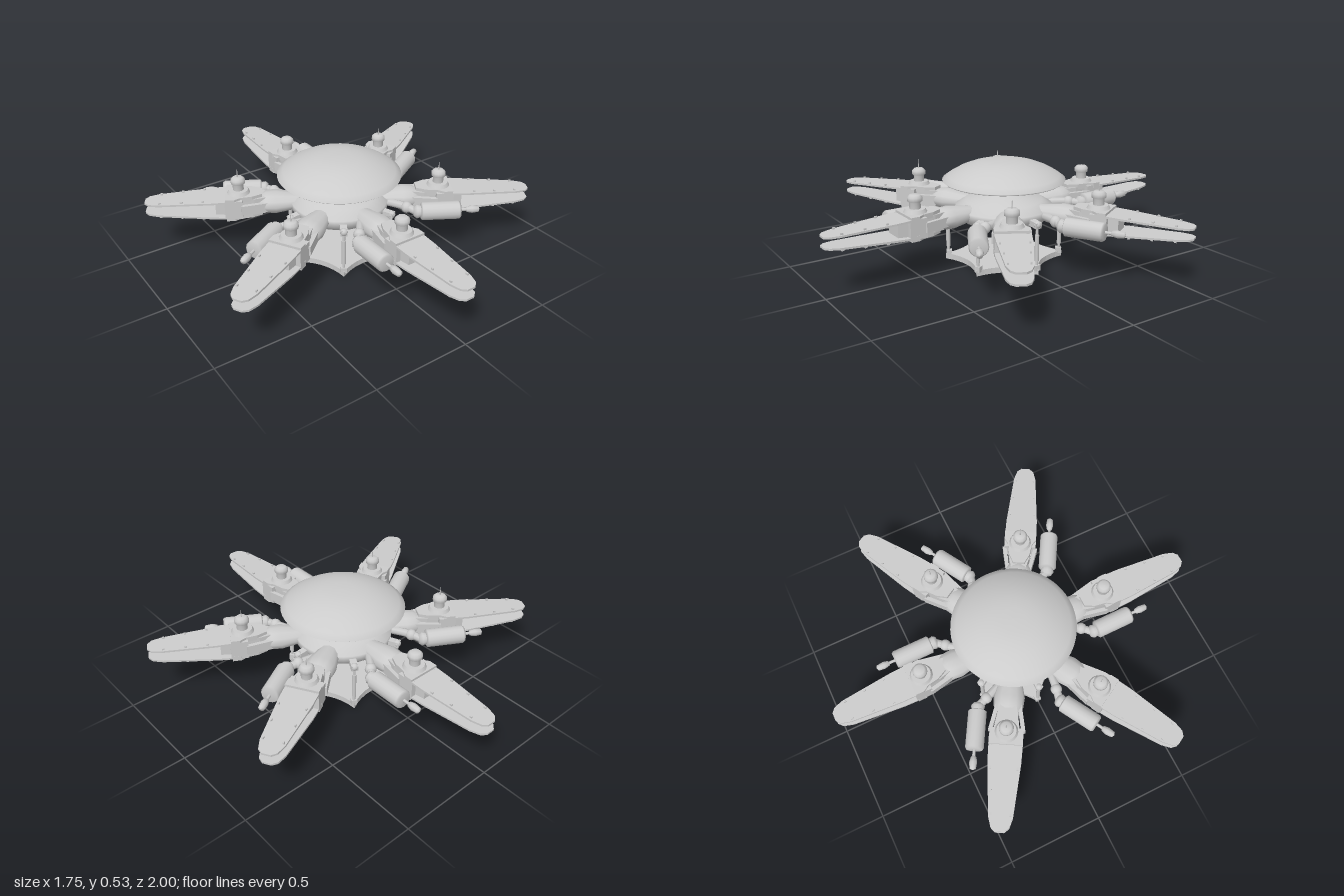
import * as THREE from 'three';

const mat = new THREE.MeshStandardMaterial({ color: 0xcccccc, side: THREE.DoubleSide });
const MID = 0.283; // height of the arms' mid plane

function add(parent, name, geo, x = 0, y = 0, z = 0) {
  const mesh = new THREE.Mesh(geo, mat);
  mesh.name = name;
  mesh.position.set(x, y, z);
  parent.add(mesh);
  return mesh;
}

const lathe = (pts, seg = 24) =>
  new THREE.LatheGeometry(pts.map(([r, y]) => new THREE.Vector2(r, y)), seg);

// Lathe laid along +z
const latheZ = (pts, seg = 16) => lathe(pts, seg).rotateX(Math.PI / 2);

// Outline in x/z (half widths mirrored), extruded downward by depth
function slab(half, depth) {
  const pts = [...half, ...half.slice().reverse().map(([x, z]) => [-x, z])];
  const shape = new THREE.Shape(pts.map(([x, z]) => new THREE.Vector2(x, z)));
  return new THREE.ExtrudeGeometry(shape, { depth, bevelEnabled: false }).rotateX(Math.PI / 2);
}

// Long thin plate, gently rising towards its root
function bladeGeometry() {
  const geo = slab([[0.085, 0.57], [0.083, 0.66], [0.06, 0.93], [0.045, 0.98], [0.022, 1.0]], 0.01);
  const p = geo.attributes.position;
  for (let i = 0; i < p.count; i++) p.setY(i, p.getY(i) + (1 - p.getZ(i)) * 0.045);
  geo.computeVertexNormals();
  return geo;
}

function makeBlade() {
  const blade = new THREE.Group();
  blade.name = 'blade';
  add(blade, 'bladePlate', bladeGeometry(), 0, 0.031, 0);
  for (const s of [-1, 1])
    for (const z of [0.7, 0.81, 0.92])
      add(blade, 'bladeStud', new THREE.BoxGeometry(0.008, 0.012, 0.012),
        s * (0.07 - (z - 0.66) * 0.085), 0.034 + (1 - z) * 0.045, z);
  return blade;
}

function makeArm(withAntenna) {
  const arm = new THREE.Group();
  arm.name = 'arm';

  // Shoulder swelling out of the hub
  add(arm, 'shoulder', latheZ([[0.05, 0.16], [0.06, 0.24], [0.08, 0.33], [0.075, 0.38], [0.05, 0.43], [0, 0.45]], 12), 0, MID, 0)
    .scale.y = 0.72;

  // Stacked housing plates around the core
  add(arm, 'housingCore', slab([[0.04, 0.38], [0.055, 0.44], [0.06, 0.54], [0.05, 0.64]], 0.09), 0, MID + 0.045, 0);
  for (const y of [0.345, 0.25])
    add(arm, 'housingPlate', slab([[0.03, 0.4], [0.055, 0.45], [0.065, 0.51], [0.085, 0.54], [0.085, 0.585]], 0.028), 0, y, 0);
  for (const s of [-1, 1]) {
    add(arm, 'hingeBlock', new THREE.BoxGeometry(0.025, 0.1, 0.09), s * 0.072, MID, 0.545);
    const brace = add(arm, 'housingBrace', new THREE.BoxGeometry(0.02, 0.05, 0.14), s * 0.07, MID, 0.44);
    brace.rotation.y = s * 0.2;
  }

  // Turret with a wider cap
  add(arm, 'turretBase', new THREE.CylinderGeometry(0.05, 0.06, 0.02, 16), 0, 0.353, 0.52);
  add(arm, 'turret', lathe([[0.028, 0.35], [0.028, 0.395], [0.037, 0.4], [0.037, 0.42], [0.025, 0.432], [0, 0.433]], 14), 0, 0, 0.52);
  if (withAntenna) add(arm, 'antenna', new THREE.ConeGeometry(0.004, 0.055, 5), 0, 0.457, 0.52);

  // Upper blade and its mirrored twin below
  const upper = makeBlade();
  upper.position.y = MID;
  const lower = makeBlade();
  lower.position.y = MID;
  lower.rotation.z = Math.PI;
  arm.add(upper, lower);

  // Side pod with a jointed link and a small tip
  const pod = new THREE.Group();
  pod.name = 'sidePod';
  pod.position.set(-0.155, 0.277, 0);
  add(pod, 'podBody', latheZ([[0, 0.405], [0.035, 0.405], [0.047, 0.412], [0.047, 0.6], [0.04, 0.61], [0, 0.61]]));
  add(pod, 'podCollar', latheZ([[0, 0.365], [0.025, 0.37], [0.036, 0.385], [0.03, 0.41]], 12));
  add(pod, 'podRod', latheZ([[0.008, 0.6], [0.008, 0.65]], 8));
  add(pod, 'podTip', latheZ([[0, 0.635], [0.014, 0.645], [0.02, 0.67], [0.016, 0.705], [0, 0.712]], 8));
  const link = new THREE.CatmullRomCurve3([
    new THREE.Vector3(0.11, 0, 0.25), new THREE.Vector3(0.05, 0.005, 0.33), new THREE.Vector3(0, 0, 0.385)]);
  add(pod, 'podLink', new THREE.TubeGeometry(link, 8, 0.021, 8));
  add(pod, 'podJoint', new THREE.SphereGeometry(0.03, 10, 8), 0.04, 0.004, 0.34);
  arm.add(pod);
  return arm;
}

// Hanging strut with its bracket and foot
function makeStrut() {
  const strut = new THREE.Group();
  strut.name = 'strut';
  add(strut, 'strutRod', new THREE.CylinderGeometry(0.007, 0.007, 0.25, 8), 0, 0.145, 0.295);
  add(strut, 'strutSleeve', new THREE.CylinderGeometry(0.011, 0.011, 0.14, 8), 0, 0.14, 0.295);
  add(strut, 'strutFoot', new THREE.BoxGeometry(0.03, 0.03, 0.03), 0, 0.035, 0.292);
  const bracket = add(strut, 'strutBracket', new THREE.BoxGeometry(0.035, 0.03, 0.13), 0, 0.265, 0.245);
  bracket.rotation.x = 0.1;
  add(strut, 'bracketKnob', new THREE.SphereGeometry(0.02, 10, 8), 0, 0.262, 0.297);
  return strut;
}

export function createModel() {
  const model = new THREE.Group();
  model.name = 'station';

  // Central hub
  add(model, 'hub', lathe([[0, 0.155], [0.065, 0.155], [0.07, 0.185], [0.14, 0.195], [0.22, 0.225],
    [0.255, 0.26], [0.255, 0.295], [0.2, 0.328], [0.12, 0.35], [0.06, 0.37]], 36));
  add(model, 'neck', lathe([[0.058, 0.36], [0.058, 0.405], [0.09, 0.42], [0.09, 0.44]]));

  // Dish-shaped roof
  add(model, 'dome', lathe([[0.08, 0.437], [0.2, 0.432], [0.31, 0.428]], 48));
  add(model, 'domeShell', lathe([[0.31, 0.428], [0.32, 0.436], [0.29, 0.458], [0.24, 0.487], [0.18, 0.511],
    [0.12, 0.527], [0.06, 0.533], [0, 0.534]], 48));

  // Arms, and struts between them
  for (let i = 0; i < 6; i++) {
    const arm = makeArm(i % 3 !== 0);
    arm.rotation.y = i * Math.PI / 3;
    const strut = makeStrut();
    strut.rotation.y = (i + 0.5) * Math.PI / 3;
    model.add(arm, strut);
  }

  // Six-pointed lower deck with concave edges
  const at = (r, a) => [r * Math.cos(a), r * Math.sin(a)];
  const star = new THREE.Shape();
  star.moveTo(...at(0.31, 0));
  for (let i = 0; i < 6; i++) {
    const a = i * Math.PI / 3;
    star.quadraticCurveTo(...at(0.18, a + Math.PI / 6), ...at(0.31, a + Math.PI / 3));
  }
  add(model, 'lowerDeck', new THREE.ExtrudeGeometry(star, { depth: 0.03, bevelEnabled: false, curveSegments: 8 })
    .rotateX(Math.PI / 2), 0, 0.03, 0);
  return model;
}
